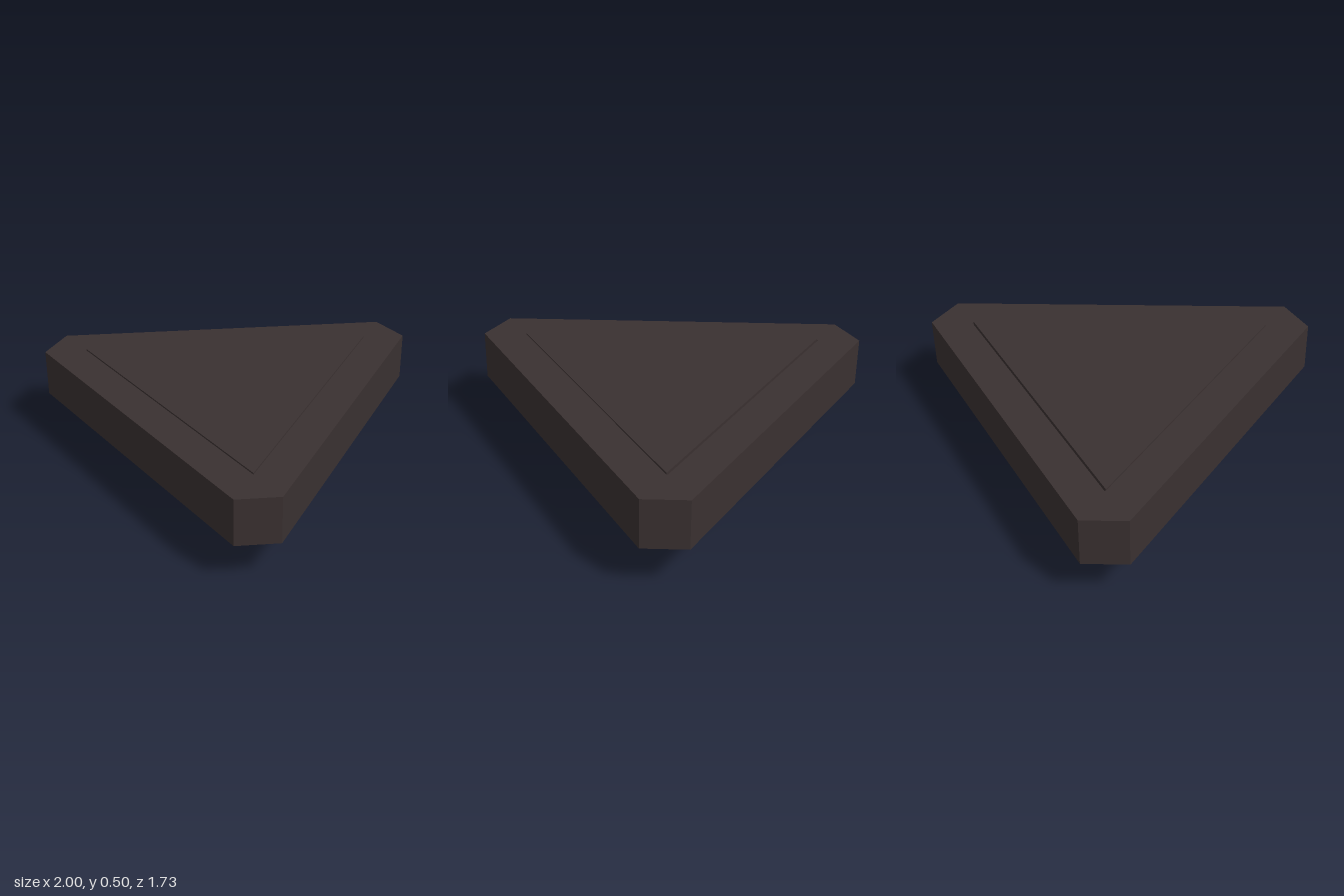
import * as THREE from 'three';

// Corners of an equilateral triangle pointing to +z, as [x, z]
const triangle = (radius, centreZ) => [90, 210, 330].map((deg) => {
  const a = THREE.MathUtils.degToRad(deg);
  return [radius * Math.cos(a), centreZ + radius * Math.sin(a)];
});

const toPoints = (list) => list.map(([x, z]) => new THREE.Vector2(x, z));

// Upright prism from a plan outline, with an optional hole
function prism(name, material, outline, bottom, top, hole) {
  const shape = new THREE.Shape(toPoints(outline));
  if (hole) shape.holes.push(new THREE.Path(toPoints(hole)));
  const geometry = new THREE.ExtrudeGeometry(shape, { depth: top - bottom, bevelEnabled: false });
  geometry.rotateX(Math.PI / 2).translate(0, top, 0);
  const mesh = new THREE.Mesh(geometry, material);
  mesh.name = name;
  return mesh;
}

export function createModel() {
  const group = new THREE.Group();
  group.name = 'triangularButton';
  const dark = new THREE.MeshStandardMaterial({ color: 0x3a3131 });
  dark.name = 'dark brown plastic';

  // Triangular cap with clipped corners
  const capOutline = [
    [-0.888, -0.865], [0.888, -0.865], [1, -0.673],
    [0.112, 0.865], [-0.112, 0.865], [-1, -0.673],
  ];
  // Raised inset, with a hairline gap along its back edge
  const inset = triangle(0.895, -0.225);
  const socket = inset.map(([x, z]) => (z < 0 ? [x, z - 0.006] : [x, z]));
  group.add(prism('cap', dark, capOutline, 0.24, 0.497, socket));
  group.add(prism('inset', dark, inset, 0.24, 0.505));

  // Hollow triangular stem under the cap
  const stem = triangle(0.537, -0.191);
  const bore = triangle(0.252, -0.191);
  group.add(prism('stem', dark, stem, 0, 0.24, bore));

  return group;
}
